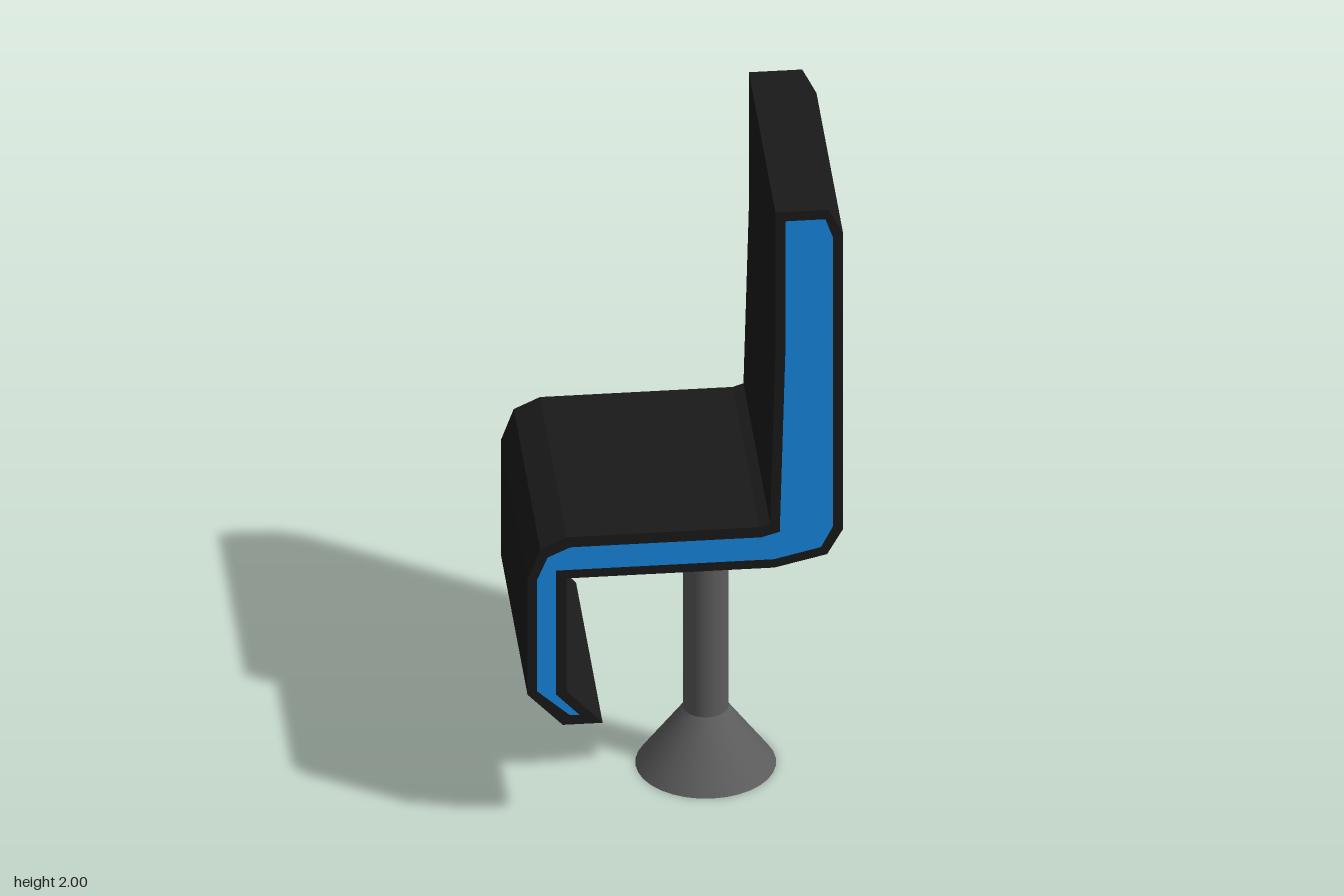
import * as THREE from 'three';

const HALF_WIDTH = 0.375;

const toShape = (pts) => new THREE.Shape(pts.map(([x, y]) => new THREE.Vector2(x, y)));

function addMesh(parent, name, geometry, color) {
  const mesh = new THREE.Mesh(geometry, new THREE.MeshStandardMaterial({ color }));
  mesh.name = name;
  parent.add(mesh);
  return mesh;
}

export function createModel() {
  const model = new THREE.Group();
  model.name = 'pedestalChair';

  // Side profile of backrest, seat and curled leg rest
  const outline = [
    [0.25, 2], [0.25, 1.55], [0.235, 0.98], [0.205, 0.97], [-0.336, 0.97],
    [-0.41, 0.935], [-0.446, 0.835], [-0.446, 0.46], [-0.347, 0.355], [-0.235, 0.355],
    [-0.336, 0.465], [-0.336, 0.835], [0.247, 0.835], [0.395, 0.87], [0.44, 0.95],
    [0.44, 1.92], [0.4, 2],
  ];
  // The same profile inset by the border width
  const inset = [
    [0.278, 1.97], [0.278, 1.55], [0.262, 0.952], [0.21, 0.937], [-0.326, 0.937],
    [-0.39, 0.907], [-0.419, 0.836], [-0.419, 0.47], [-0.327, 0.386], [-0.3, 0.386],
    [-0.366, 0.456], [-0.366, 0.863], [0.246, 0.863], [0.378, 0.895], [0.411, 0.96],
    [0.411, 1.91], [0.39, 1.97],
  ];

  // Upholstered body
  const body = new THREE.ExtrudeGeometry(toShape(outline), { depth: 2 * HALF_WIDTH, bevelEnabled: false });
  body.translate(0, 0, -HALF_WIDTH);
  addMesh(model, 'seatBody', body, 0x1a1a1a);

  // Blue panel on each side
  for (const side of [1, -1]) {
    const panel = addMesh(model, side > 0 ? 'frontSidePanel' : 'backSidePanel',
      new THREE.ShapeGeometry(toShape(inset)), 0x1688e2);
    panel.position.z = side * (HALF_WIDTH + 0.001);
    panel.material.side = THREE.DoubleSide;
  }

  // Pedestal: flared foot and straight post
  const pedestal = new THREE.Group();
  pedestal.name = 'pedestal';
  pedestal.position.set(0.088, 0, 0.037);
  const foot = addMesh(pedestal, 'foot', new THREE.CylinderGeometry(0.064, 0.197, 0.185, 32), 0x5c5c5c);
  foot.position.y = 0.0925;
  const post = addMesh(pedestal, 'post', new THREE.CylinderGeometry(0.064, 0.064, 0.655, 32, 1, true), 0x5c5c5c);
  post.position.y = 0.185 + 0.655 / 2;
  model.add(pedestal);

  return model;
}
